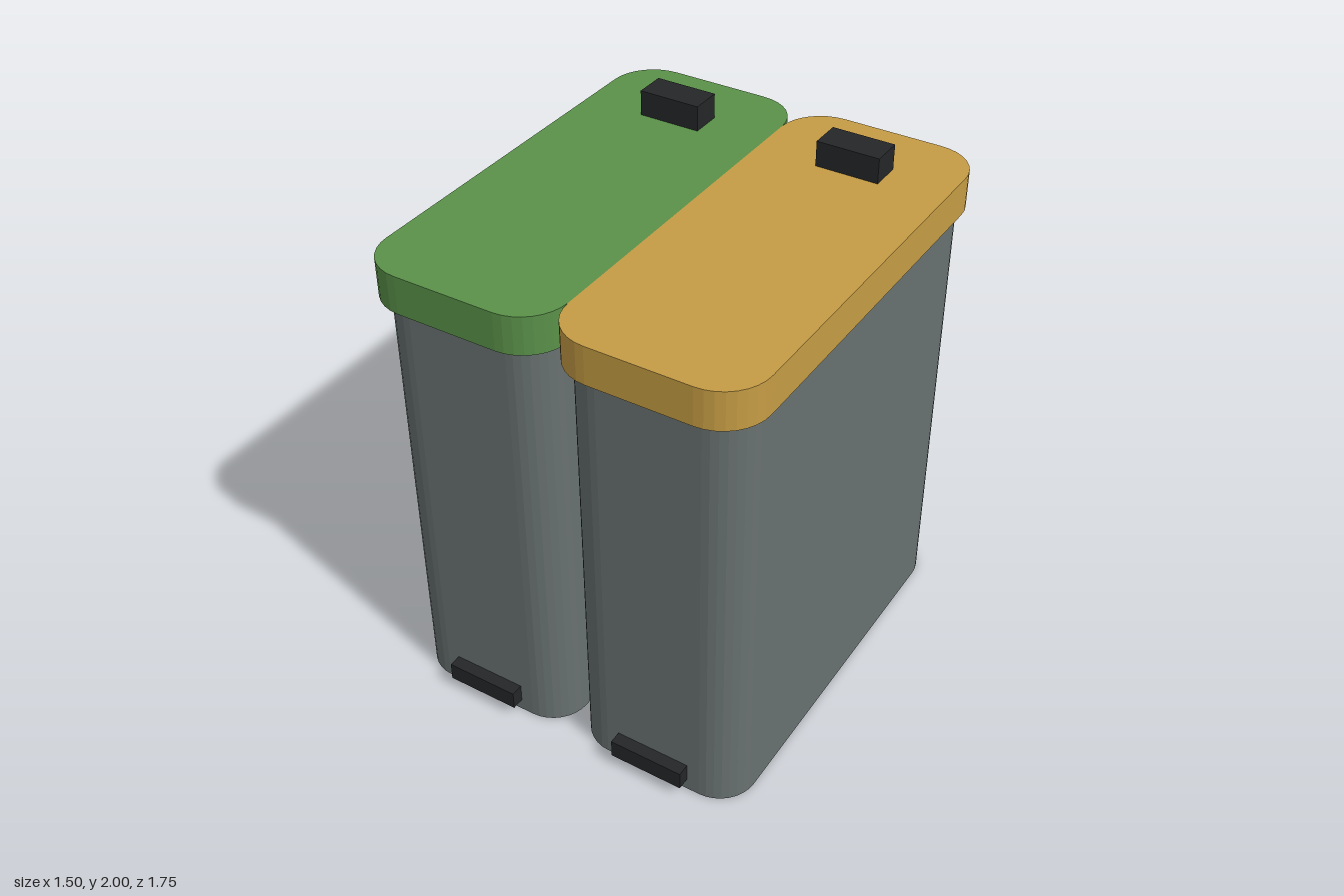
import * as THREE from 'three';

const material = (color) => new THREE.MeshStandardMaterial({ color, flatShading: true });

// Upright slab with rounded vertical corners, standing on y = 0
function roundedSlab(width, depth, height, radius) {
  const x = width / 2, z = depth / 2, r = radius;
  const shape = new THREE.Shape();
  shape.absarc(x - r, z - r, r, 0, Math.PI / 2);
  shape.absarc(r - x, z - r, r, Math.PI / 2, Math.PI);
  shape.absarc(r - x, r - z, r, Math.PI, Math.PI * 1.5);
  shape.absarc(x - r, r - z, r, Math.PI * 1.5, Math.PI * 2);
  shape.closePath();
  const geometry = new THREE.ExtrudeGeometry(shape, { depth: height, bevelEnabled: false, curveSegments: 4 });
  return geometry.rotateX(-Math.PI / 2);
}

function createBin(name, lidColor) {
  const bin = new THREE.Group();
  bin.name = name;
  const add = (part, geometry, mat, x, y, z) => {
    const mesh = new THREE.Mesh(geometry, mat);
    mesh.name = part;
    mesh.position.set(x, y, z);
    bin.add(mesh);
  };
  const dark = material(0x252628);

  // Tall body and overhanging lid
  add('body', roundedSlab(0.7, 1.65, 1.75, 0.15), material(0x687170), 0, 0, 0);
  add('lid', roundedSlab(0.75, 1.75, 0.15, 0.175), material(lidColor), 0, 1.75, 0);

  // Grip at the rear of the lid, pedal at the foot of the front
  add('lidHandle', new THREE.BoxGeometry(0.25, 0.1, 0.125), dark, 0, 1.95, -0.5625);
  add('pedal', new THREE.BoxGeometry(0.3, 0.075, 0.05), dark, 0, 0.0875, 0.85);
  return bin;
}

export function createModel() {
  const model = new THREE.Group();
  model.name = 'binPair';
  const left = createBin('leftBin', 0xc59c44);
  const right = createBin('rightBin', 0x5a9149);
  left.position.x = 0.375;
  right.position.x = -0.375;
  model.add(left, right);
  return model;
}
